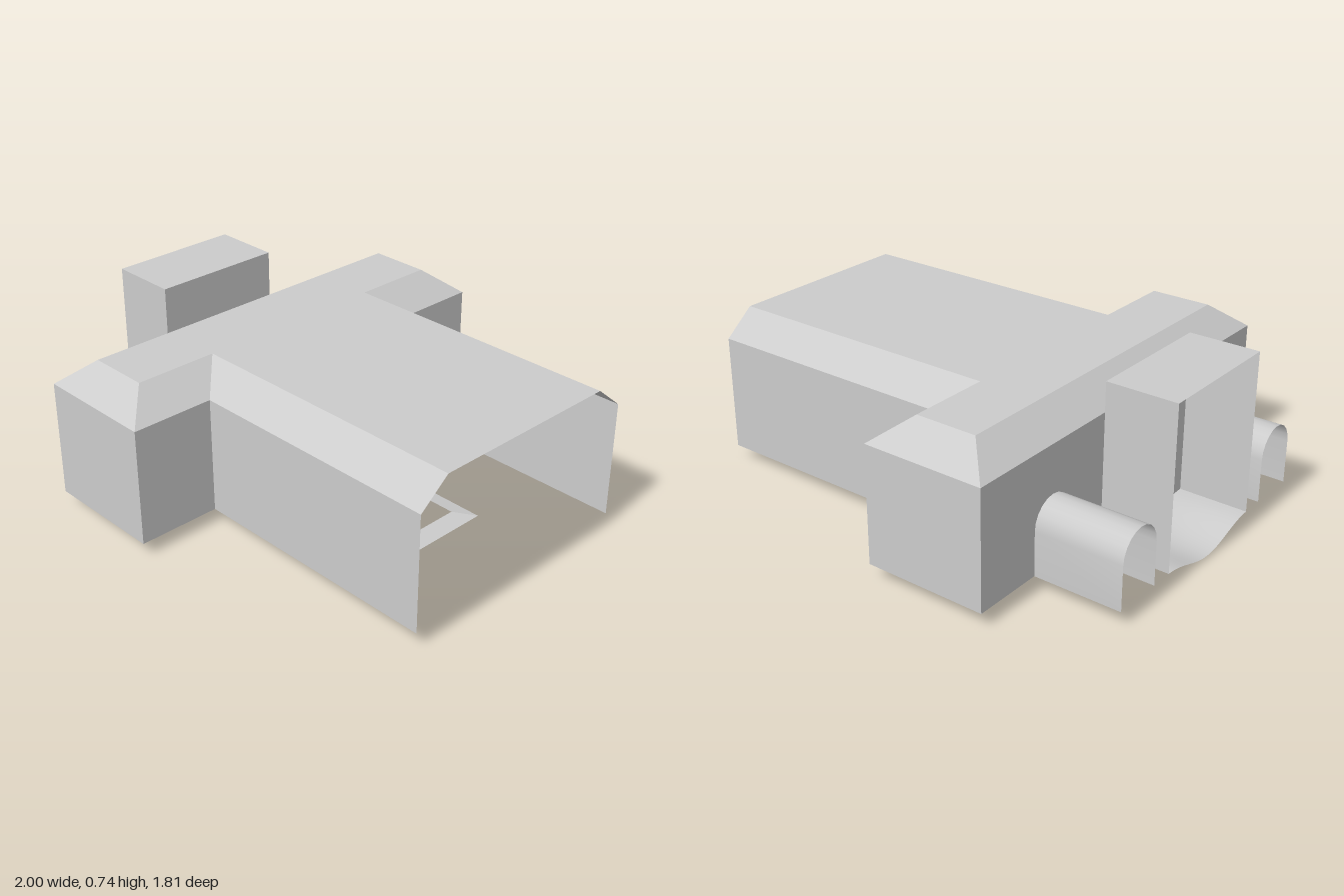
import * as THREE from 'three';
import { toCreasedNormals } from 'three/addons/utils/BufferGeometryUtils.js';

const FLOOR = 0.06, EAVE = 0.555, ROOF = 0.66;
const thin = new THREE.MeshStandardMaterial({ color: 0xcccccc, side: THREE.DoubleSide });
const solid = new THREE.MeshStandardMaterial({ color: 0xcccccc });

function add(parent, name, geometry, material = thin) {
  const mesh = new THREE.Mesh(geometry, material);
  mesh.name = name;
  parent.add(mesh);
  return mesh;
}

// Surface stretched between two matching rows of [x, y, z] points
function band(low, high, crease = 0.1) {
  const v = [];
  for (let i = 0; i + 1 < low.length; i++) {
    const p = low[i], q = low[i + 1], P = high[i], Q = high[i + 1];
    v.push(...p, ...P, ...Q, ...p, ...Q, ...q);
  }
  const g = new THREE.BufferGeometry();
  g.setAttribute('position', new THREE.Float32BufferAttribute(v, 3));
  g.computeVertexNormals();
  return toCreasedNormals(g, crease);
}

// Half outline of the T shape, mirrored across z
const mirrored = (half) => [...half, ...half.map(([x, z]) => [x, -z]).reverse()];
const outer = mirrored([[1, 0.55], [-0.1, 0.55], [-0.1, 0.905], [-0.625, 0.905]]);
const inner = mirrored([[1, 0.42], [-0.235, 0.42], [-0.235, 0.775], [-0.5, 0.775]]);
const at = (pts, y) => pts.map(([x, z]) => [x, y, z]);
const toShape = (pts) => new THREE.Shape(pts.map(([x, y]) => new THREE.Vector2(x, y)));

// Arched pipes that open through the end wall
const PIPE_Z = 0.492, PIPE_R = 0.107, PIPE_Y = 0.246;
function archPoints(c) {
  const pts = [[c - PIPE_R, FLOOR]];
  for (let i = 0; i <= 10; i++) {
    const a = Math.PI * (1 - i / 10);
    pts.push([c + PIPE_R * Math.cos(a), PIPE_Y + PIPE_R * Math.sin(a)]);
  }
  pts.push([c + PIPE_R, FLOOR]);
  return pts;
}

// Curved underside of the end box
const HALF = 0.287;
const keelY = (x, z) => {
  const depth = 0.06 - 0.03 * ((x + 1) / 0.3) ** 2;
  return FLOOR - depth * 0.5 * (1 + Math.cos(Math.PI * z / HALF));
};

export function createModel() {
  const model = new THREE.Group();

  // Hollow T-shaped housing, open at the +x end
  const housing = new THREE.Group();
  housing.name = 'housing';
  model.add(housing);
  const low = at(outer, FLOOR), eave = at(outer, EAVE);
  add(housing, 'leftWalls', band(low.slice(0, 4), eave.slice(0, 4)));
  add(housing, 'rightWalls', band(low.slice(4), eave.slice(4)));
  add(housing, 'bevel', band(eave, at(inner, ROOF)));
  add(housing, 'roof', new THREE.ShapeGeometry(toShape(inner)).rotateX(-Math.PI / 2).translate(0, ROOF, 0));

  // End wall with two arched cutouts
  const wall = toShape([[-0.905, FLOOR], ...archPoints(-PIPE_Z), ...archPoints(PIPE_Z),
    [0.905, FLOOR], [0.905, EAVE], [-0.905, EAVE]]);
  add(housing, 'endWall', new THREE.ShapeGeometry(wall).rotateY(-Math.PI / 2).translate(-0.625, 0, 0));

  // Floor, with a shallow raised panel
  const floor = toShape(outer);
  floor.holes.push(new THREE.Path([[0.26, -0.17], [0.26, 0.17], [0.66, 0.17], [0.66, -0.17]]
    .map(([x, z]) => new THREE.Vector2(x, z))));
  add(housing, 'floor', new THREE.ShapeGeometry(floor).rotateX(Math.PI / 2).translate(0, FLOOR, 0), solid);
  const panel = [[0.66, 0.17], [0.26, 0.17], [0.26, -0.17], [0.66, -0.17], [0.66, 0.17]];
  const panelTop = panel.map(([x, z]) => [0.46 + (x - 0.46) * 0.6, z * 0.6]);
  add(housing, 'panelSlopes', band(at(panel, FLOOR), at(panelTop, FLOOR + 0.012)));
  add(housing, 'panelTop', new THREE.PlaneGeometry(0.24, 0.204).rotateX(Math.PI / 2).translate(0.46, FLOOR + 0.012, 0), solid);

  // Pair of pipes
  for (const side of [1, -1]) {
    const pipe = new THREE.Group();
    pipe.name = side > 0 ? 'leftPipe' : 'rightPipe';
    model.add(pipe);
    const arch = archPoints(side * PIPE_Z);
    add(pipe, 'pipeArch', band(arch.map(([z, y]) => [-1, y, z]), arch.map(([z, y]) => [-0.625, y, z]), 0.6));
    add(pipe, 'pipeFloor', new THREE.PlaneGeometry(0.375, PIPE_R * 2).rotateX(Math.PI / 2)
      .translate(-0.8125, FLOOR, side * PIPE_Z), solid);
  }

  // End box, open at the -x end
  const box = new THREE.Group();
  box.name = 'endBox';
  model.add(box);
  const hoop = [[-HALF, FLOOR], [-HALF, 0.743], [HALF, 0.743], [HALF, FLOOR]];
  add(box, 'boxSidesAndTop', band(hoop.map(([z, y]) => [-1, y, z]), hoop.map(([z, y]) => [-0.7, y, z])));

  const back = [[-HALF, 0.743], [HALF, 0.743]];
  for (let i = 0; i <= 16; i++) {
    const z = HALF - (i / 16) * 2 * HALF;
    back.push([z, keelY(-0.7, z)]);
  }
  const backWall = new THREE.ShapeGeometry(toShape(back.map(([z, y]) => [-z, y])));
  add(box, 'boxBackWall', backWall.rotateY(Math.PI / 2).translate(-0.7, 0, 0));

  // Keel
  const keel = new THREE.PlaneGeometry(0.3, HALF * 2, 6, 16).rotateX(Math.PI / 2).translate(-0.85, 0, 0);
  const p = keel.attributes.position;
  for (let i = 0; i < p.count; i++) p.setY(i, keelY(p.getX(i), p.getZ(i)));
  keel.computeVertexNormals();
  add(box, 'keel', keel);

  return model;
}
